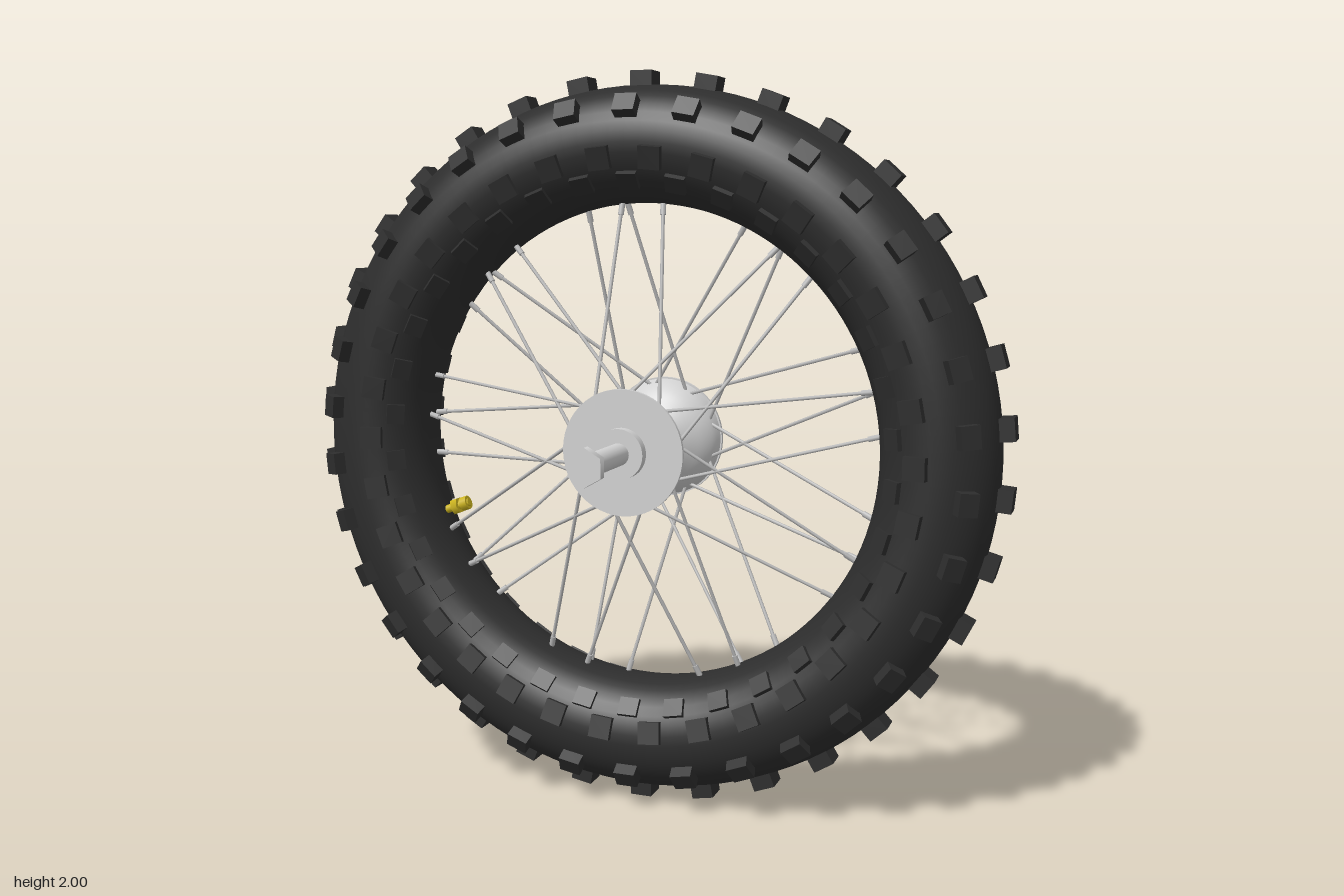
import * as THREE from 'three';

const material = (name, color) => {
  const m = new THREE.MeshStandardMaterial({ color });
  m.name = name;
  return m;
};
const rad = THREE.MathUtils.degToRad;

export function createModel() {
  const rubber = material('black rubber', 0x2d2d2d);
  const alloy = material('hub alloy', 0xd2d2d2);
  const steel = material('spoke steel', 0xbcbcbc);
  const brass = material('valve brass', 0xccb41e);

  const model = new THREE.Group();
  const wheel = new THREE.Group();
  wheel.name = 'wheel';
  wheel.position.y = 1;
  model.add(wheel);

  const add = (name, geometry, mat, parent = wheel) => {
    const mesh = new THREE.Mesh(geometry, mat);
    mesh.name = name;
    parent.add(mesh);
    return mesh;
  };

  // Rod between two points
  const rod = (name, a, b, radius, mat, parent, sides = 8) => {
    const dir = b.clone().sub(a);
    const mesh = add(name, new THREE.CylinderGeometry(radius, radius, dir.length(), sides), mat, parent);
    mesh.position.copy(a).add(b).multiplyScalar(0.5);
    mesh.quaternion.setFromUnitVectors(new THREE.Vector3(0, 1, 0), dir.normalize());
    return mesh;
  };
  const polar = (r, deg, z) => new THREE.Vector3(r * Math.cos(rad(deg)), r * Math.sin(rad(deg)), z);

  // Tyre
  const major = 0.81, minor = 0.155;
  add('tyre', new THREE.TorusGeometry(major, minor, 36, 120), rubber);

  // Tread: rows of blocks; phi is the angle around the tyre's section, 0 = outward
  const count = 34;
  const rows = [
    { name: 'centreTread', phi: 0, top: 0.19, size: [0.06, 0.06, 0.065], phase: 0.5 },
    { name: 'shoulderTread', phi: 57, top: 0.185, size: [0.055, 0.06, 0.052], phase: 0.5 },
    { name: 'outerSideTread', phi: 104, top: 0.17, size: [0.04, 0.06, 0.06], phase: 0 },
    { name: 'innerSideTread', phi: 128, top: 0.167, size: [0.04, 0.055, 0.05], phase: 0.5 },
  ];
  for (const row of rows) {
    const group = new THREE.Group();
    group.name = row.name;
    wheel.add(group);
    const geometry = new THREE.BoxGeometry(...row.size);
    const reach = row.top - row.size[0] / 2;
    for (const side of row.phi ? [1, -1] : [1]) {
      const phi = rad(row.phi) * side;
      for (let i = 0; i < count; i++) {
        const pivot = new THREE.Group();
        pivot.rotation.z = (i + row.phase) * 2 * Math.PI / count;
        group.add(pivot);
        const block = add('treadBlock', geometry, rubber, pivot);
        block.position.set(major + reach * Math.cos(phi), 0, reach * Math.sin(phi));
        block.rotation.y = -phi;
      }
    }
  }

  // Hub barrel: narrow waist swelling towards each flange
  const half = [[0.055, 0], [0.06, 0.03], [0.076, 0.055], [0.106, 0.08], [0.136, 0.107], [0.156, 0.135], [0.166, 0.164]];
  const outline = [...half.slice(1).reverse().map(([r, z]) => [r, -z]), ...half];
  const curve = new THREE.SplineCurve(outline.map(([r, z]) => new THREE.Vector2(r, z)));
  add('hubBarrel', new THREE.LatheGeometry(curve.getPoints(48), 48), alloy).rotation.x = Math.PI / 2;

  // Flanges, bosses, axle and hexagonal heads
  const disc = (name, radius, z0, z1, sides = 48) => {
    const mesh = add(name, new THREE.CylinderGeometry(radius, radius, Math.abs(z1 - z0), sides), alloy);
    mesh.rotation.x = Math.PI / 2;
    mesh.position.z = (z0 + z1) / 2;
    return mesh;
  };
  disc('axle', 0.03, -0.41, 0.41, 24);
  for (const s of [1, -1]) {
    disc('hubFlange', 0.17, s * 0.163, s * 0.173);
    disc('hubBoss', 0.068, s * 0.17, s * 0.2);
    disc('axleHead', 0.051, s * 0.405, s * 0.43, 6);
  }

  // Crossed spokes: nine pairs on each flange, with nipples at the rim
  const spokes = new THREE.Group();
  spokes.name = 'spokes';
  wheel.add(spokes);
  for (const s of [1, -1]) {
    for (let k = 0; k < 9; k++) {
      const station = 40 * k + (s > 0 ? 10 : 20);
      for (const lean of [35, -35]) {
        const inner = polar(0.145, station, s * 0.142);
        const outer = polar(0.665, station + lean, s * 0.015);
        rod('spoke', inner, outer, 0.005, steel, spokes, 6);
        rod('spokeNipple', inner.clone().lerp(outer, 0.93), outer, 0.008, steel, spokes, 6);
      }
    }
  }

  // Valve
  const valve = new THREE.Group();
  valve.name = 'valve';
  wheel.add(valve);
  for (const [r0, r1, width, sides] of [[0.67, 0.578, 0.012, 12], [0.632, 0.612, 0.024, 6], [0.604, 0.582, 0.02, 12]]) {
    rod('valvePart', polar(r0, 200, 0), polar(r1, 200, 0), width, brass, valve, sides);
  }

  return model;
}
